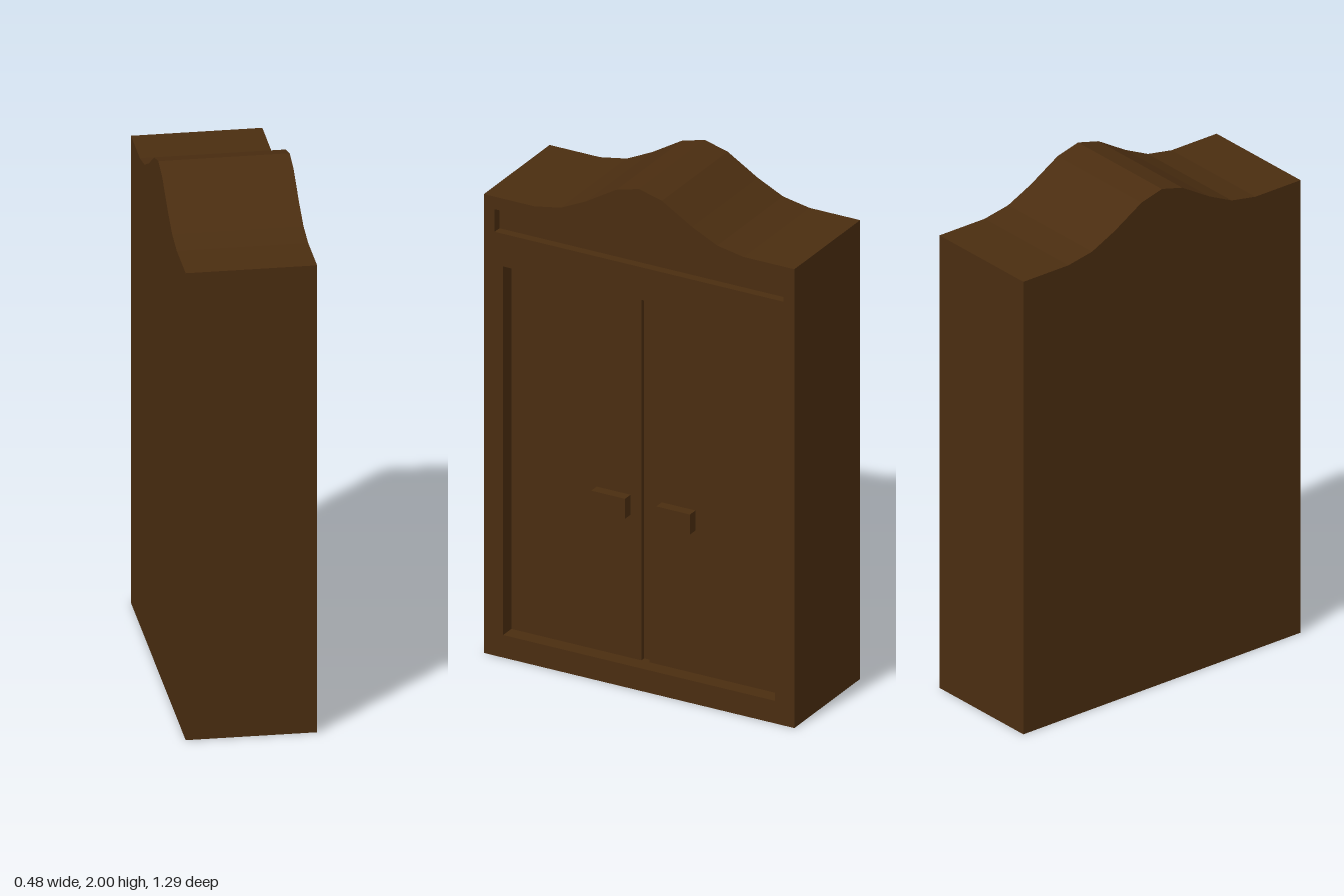
import * as THREE from 'three';

// Right half of the pediment curve: [distance from centre, height]
const CREST = [[0, 2], [0.095, 1.975], [0.22, 1.9], [0.325, 1.85], [0.435, 1.83]];

// Outline with a flat bottom and a crested top, lowered by drop
function crestPoints(halfWidth, bottom, drop) {
  const half = [...CREST, [halfWidth, 1.83]].map(([u, y]) => [u, y - drop]);
  const left = half.slice(1).map(([u, y]) => [-u, y]);
  return [[-halfWidth, bottom], [halfWidth, bottom], ...half.reverse(), ...left]
    .map(([u, y]) => new THREE.Vector2(u, y));
}

function rectPoints(u0, u1, y0, y1) {
  return [[u0, y0], [u1, y0], [u1, y1], [u0, y1]].map(([u, y]) => new THREE.Vector2(u, y));
}

export function createModel() {
  const group = new THREE.Group();
  const wood = new THREE.MeshStandardMaterial({ color: 0x4a2d10, flatShading: true });
  wood.name = 'dark wood';

  // Slab drawn in the face plane (u = -z) and running from x0 to x1
  function slab(name, points, x0, x1, holes = []) {
    const shape = new THREE.Shape(points);
    shape.holes = holes.map((h) => new THREE.Path(h));
    const geometry = new THREE.ExtrudeGeometry(shape, { depth: x1 - x0, bevelEnabled: false });
    geometry.rotateY(Math.PI / 2).translate(x0, 0, 0);
    const mesh = new THREE.Mesh(geometry, wood);
    mesh.name = name;
    group.add(mesh);
  }

  const outline = crestPoints(0.645, 0, 0);
  const header = crestPoints(0.6, 1.69, 0.05);
  const opening = rectPoints(-0.565, 0.565, 0.09, 1.56);

  // Body and the frame around the recesses
  slab('carcass', outline, -0.24, 0.16);
  slab('faceFrame', outline, 0.16, 0.24, [header, opening]);
  slab('headerPanel', header, 0.16, 0.205);

  // Doors with a narrow gap between them
  slab('leftDoor', rectPoints(-0.565, -0.025, 0.09, 1.56), 0.16, 0.18);
  slab('rightDoor', rectPoints(0.008, 0.565, 0.09, 1.56), 0.16, 0.18);

  // Block handles
  slab('leftHandle', rectPoints(-0.21, -0.07, 0.66, 0.74), 0.18, 0.22);
  slab('rightHandle', rectPoints(0.06, 0.2, 0.66, 0.74), 0.18, 0.22);

  return group;
}
